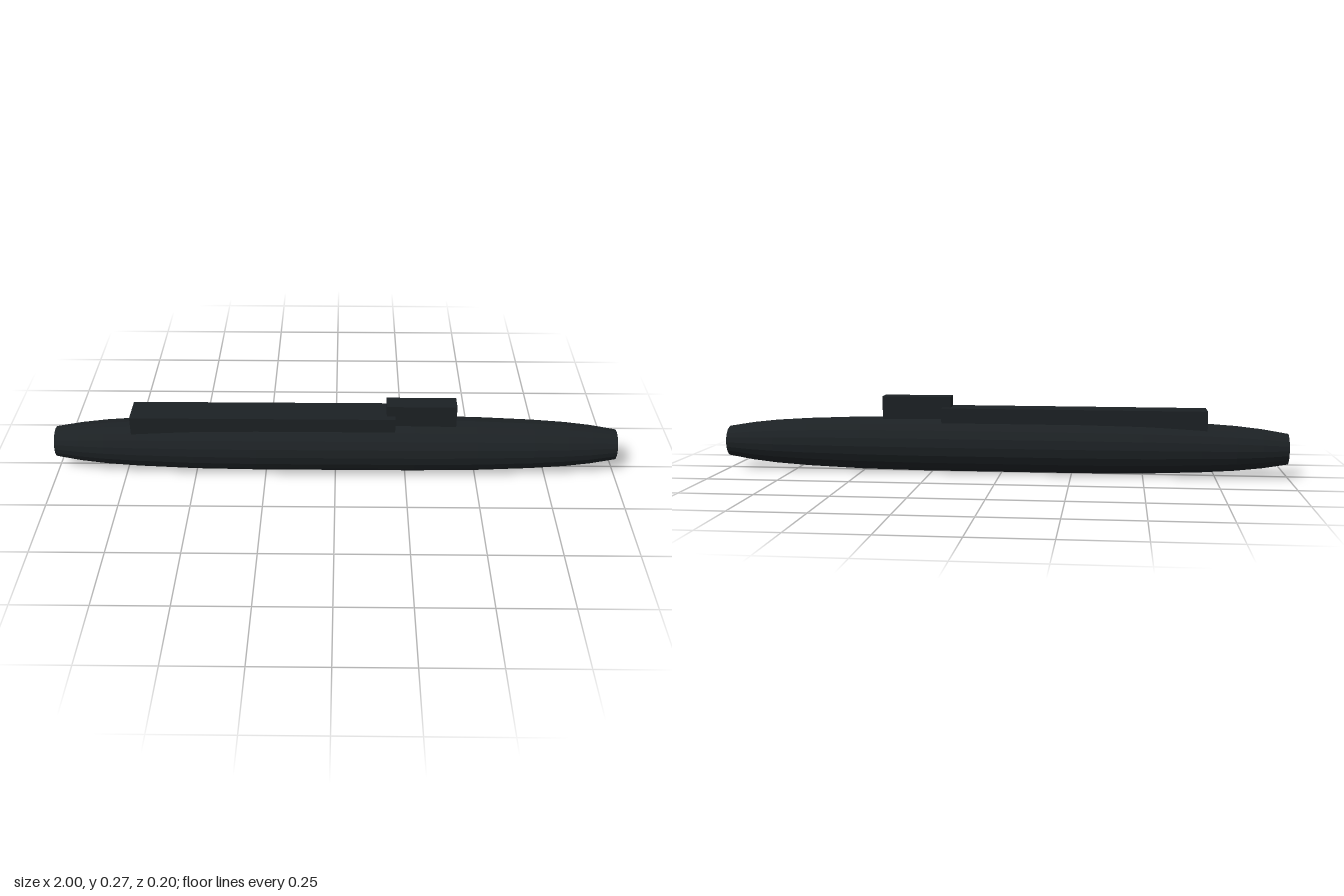
import * as THREE from 'three';

export function createModel() {
  const group = new THREE.Group();
  const material = new THREE.MeshStandardMaterial({ color: 0x1c2124, flatShading: true });

  // Half profile of the hull: distance from the middle, radius
  const half = [[0.28, 0.098], [0.5, 0.095], [0.7, 0.087], [0.82, 0.079], [0.91, 0.069], [1, 0.054]];
  const profile = [
    [-1, 0],
    ...half.map(([x, r]) => [-x, r]).reverse(),
    ...half,
    [1, 0],
  ].map(([x, r]) => new THREE.Vector2(r, x));

  // Tapered round hull with flat ends, lying along x
  const hullGeometry = new THREE.LatheGeometry(profile, 20);
  hullGeometry.rotateZ(-Math.PI / 2);
  hullGeometry.translate(0, 0.098, 0);
  const hull = new THREE.Mesh(hullGeometry, material);
  hull.name = 'hull';
  group.add(hull);

  // Box given by its extents, centred on z = 0
  function addBox(name, x0, x1, y0, y1, width) {
    const mesh = new THREE.Mesh(new THREE.BoxGeometry(x1 - x0, y1 - y0, width), material);
    mesh.position.set((x0 + x1) / 2, (y0 + y1) / 2, 0);
    mesh.name = name;
    group.add(mesh);
  }

  // Long raised deck and the tower that overlaps its forward end
  addBox('deckCasing', -0.72, 0.21, 0.155, 0.232, 0.108);
  addBox('tower', 0.18, 0.425, 0.16, 0.27, 0.062);

  return group;
}
